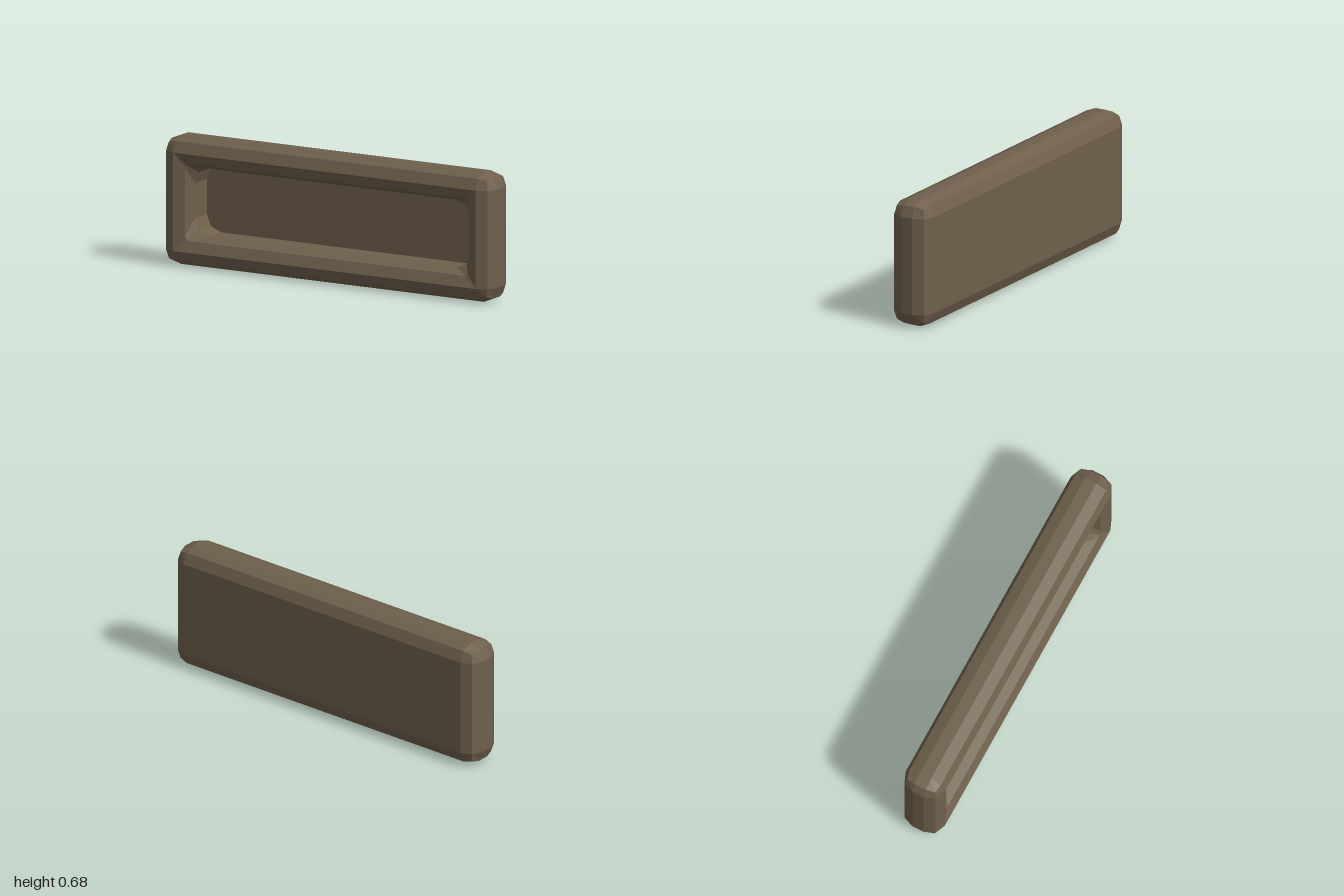
import * as THREE from 'three';

const CY = 0.3425; // height of the tray's middle

// Twelve-point ring: a rectangle (half sizes hx, hy) with two-segment corners.
// r is the corner size; m and zm place the middle point of each corner.
function ring(hx, hy, z, r = 0, m = r * Math.SQRT1_2, zm = z) {
  const cx = hx - r, cy = hy - r;
  const corner = [[cx + r, cy, z], [cx + m, cy + m, zm], [cx, cy + r, z]];
  const points = [];
  for (const [sx, sy] of [[1, 1], [-1, 1], [-1, -1], [1, -1]]) {
    const order = sx * sy > 0 ? corner : [...corner].reverse();
    for (const [x, y, d] of order) points.push([sx * x, CY + sy * y, d]);
  }
  return points;
}

// Skins a run of rings; optional flat caps at either end.
function skin(rings, capStart, capEnd) {
  const pos = [];
  const same = (a, b) => a.every((v, i) => Math.abs(v - b[i]) < 1e-6);
  const tri = (a, b, c) => {
    if (!same(a, b) && !same(b, c) && !same(a, c)) pos.push(...a, ...b, ...c);
  };
  for (let k = 0; k < rings.length - 1; k++) {
    const A = rings[k], B = rings[k + 1];
    for (let i = 0; i < A.length; i++) {
      const j = (i + 1) % A.length;
      tri(A[i], A[j], B[j]);
      tri(A[i], B[j], B[i]);
    }
  }
  const first = rings[0], last = rings[rings.length - 1];
  for (let i = 1; i < first.length - 1; i++) {
    if (capStart) tri(first[0], first[i + 1], first[i]);
    if (capEnd) tri(last[0], last[i], last[i + 1]);
  }
  const geo = new THREE.BufferGeometry();
  geo.setAttribute('position', new THREE.Float32BufferAttribute(pos, 3));
  geo.computeVertexNormals();
  return geo;
}

export function createModel() {
  const group = new THREE.Group();
  group.name = 'tray';
  const material = new THREE.MeshStandardMaterial({ color: 0x6f604c, flatShading: true });
  const add = (name, geo) => {
    const mesh = new THREE.Mesh(geo, material);
    mesh.name = name;
    group.add(mesh);
  };

  // Bevelled outer body, from the flat back to the front lip
  const lip = ring(0.918, 0.26, 0.115);
  add('outerShell', skin([
    ring(0.918, 0.26, -0.115),
    ring(0.976, 0.318, -0.091, 0.058, 0.047, -0.081),
    ring(1, 0.342, -0.033, 0.082),
    ring(1, 0.342, 0.033, 0.082),
    ring(0.976, 0.318, 0.091, 0.058, 0.047, 0.081),
    lip,
  ], true, false));

  // Rounded inner lip, straight walls and recessed floor
  add('recess', skin([
    lip,
    ring(0.862, 0.204, 0.088, 0.024),
    ring(0.837, 0.179, 0.033, 0.085),
    ring(0.837, 0.179, -0.088, 0.085),
  ], false, true));

  return group;
}
